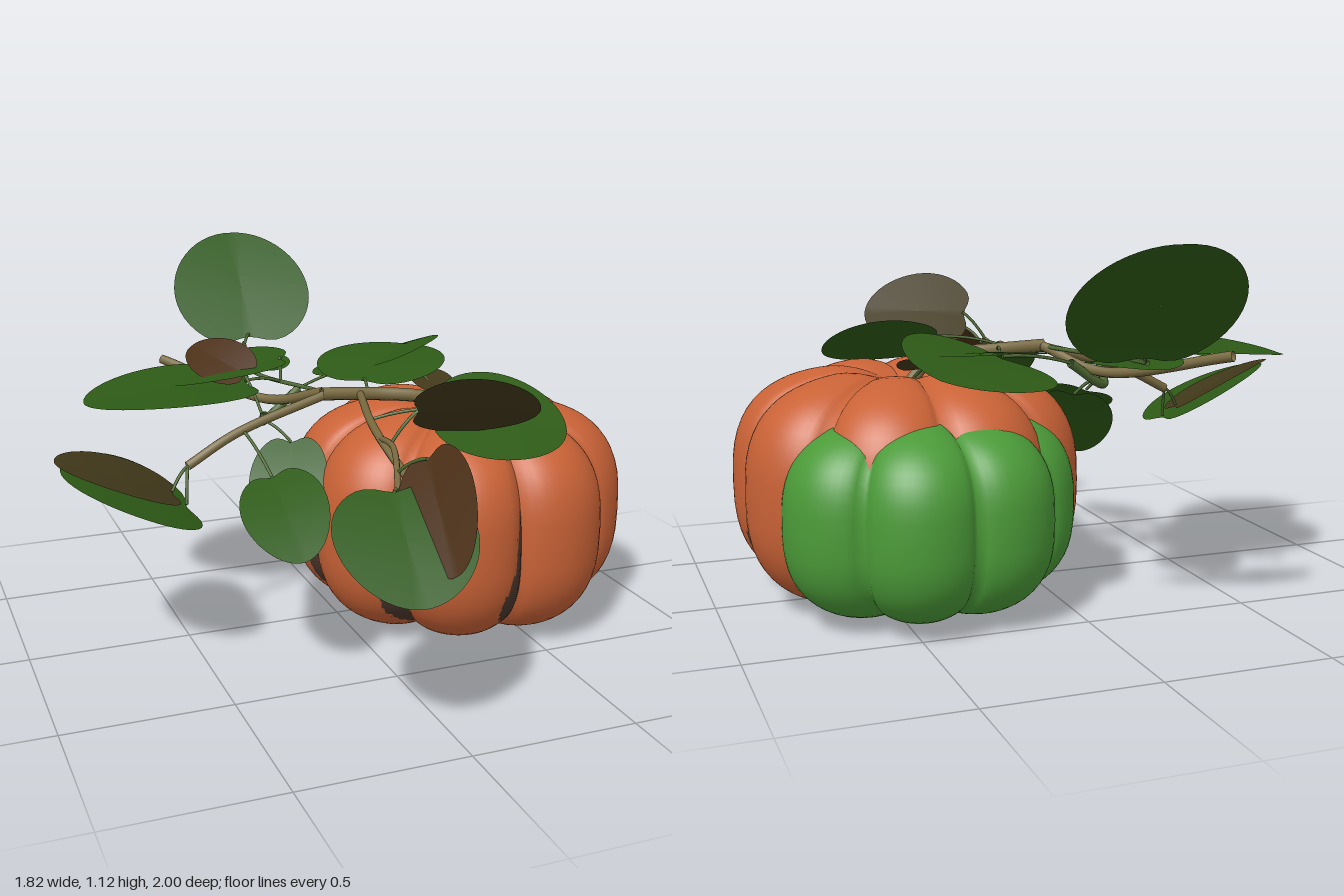
import * as THREE from 'three';

const V = (a) => new THREE.Vector3(...a);
const mat = (color) => new THREE.MeshStandardMaterial({ color, side: THREE.DoubleSide });
const orange = mat(0xc96236), green = mat(0x4b9a38), scar = mat(0x4b362c);
const leafGreen = mat(0x2d5a16), leafBrown = mat(0x4a2e14), leafOlive = mat(0x41381a);
const bark = mat(0x77693f), sprout = mat(0x4f6a34);
const LOBES = 8;

// Ribbed gourd: a dimpled superellipse turned around y, pinched at each valley
function gourd(name, material, radius, height, flare = 0) {
  const profile = [], steps = 44, mid = height / 2;
  for (let i = 0; i <= steps; i++) {
    const t = Math.PI / 2 * Math.sin(Math.PI * (i / steps - 0.5));
    const r = Math.abs(Math.cos(t)) ** 0.6;
    const rise = Math.sign(t) * Math.abs(Math.sin(t)) ** 0.74;
    const dimple = 1 - 0.25 * Math.max(0, 1 - r / 0.48) ** 2;
    profile.push(new THREE.Vector2(r * radius, mid * (1 + rise * dimple)));
  }
  const geo = new THREE.LatheGeometry(profile, LOBES * 16);
  const pos = geo.attributes.position;
  for (let i = 0; i < pos.count; i++) {
    const x = pos.getX(i), y = pos.getY(i), z = pos.getZ(i);
    const bulge = Math.abs(Math.sin(Math.atan2(x, z) * LOBES / 2)) ** 0.6;
    const pinch = (0.86 + 0.14 * bulge) * (1 + flare * (0.45 - y / height));
    const reach = Math.min(1, Math.hypot(x, z) / radius * 2);
    const sink = 1 - 0.08 * (1 - bulge) * reach;
    pos.setXYZ(i, x * pinch, mid + (y - mid) * sink, z * pinch);
  }
  geo.computeVertexNormals();
  const mesh = new THREE.Mesh(geo, material);
  mesh.name = name;
  return mesh;
}

function tube(name, curve, radius, material) {
  const mesh = new THREE.Mesh(new THREE.TubeGeometry(curve, 28, radius, 8), material);
  mesh.name = name;
  return mesh;
}

// Rounded blade along y, notched where the stalk joins and gently cupped
function bladeGeometry(width, length) {
  const geo = new THREE.RingGeometry(0.001, 1, 48, 5);
  const pos = geo.attributes.position;
  for (let i = 0; i < pos.count; i++) {
    const x = pos.getX(i), y = pos.getY(i);
    const notch = 1 - 0.18 * Math.exp(-((Math.atan2(x, -y) / 0.3) ** 2));
    const side = x * notch * (1 - 0.1 * y), along = y * notch;
    pos.setXYZ(i, side * width / 2, along * length / 2,
      length * (0.02 * Math.abs(side) - 0.025 * along * along));
  }
  geo.computeVertexNormals();
  return geo;
}

// Leaf from base to tip, rolled about its midrib, its stalk reaching the nearest vine
function leaf(vines, aspect, name, material, base, tip, roll = 0) {
  const group = new THREE.Group();
  group.name = name;
  const a = V(base), b = V(tip), dir = b.clone().sub(a);
  const length = dir.length();
  dir.normalize();
  const across = dir.clone().cross(V([0, 1, 0])).normalize().applyAxisAngle(dir, roll);
  const blade = new THREE.Mesh(bladeGeometry(length * aspect, length), material);
  blade.name = 'blade';
  blade.quaternion.setFromRotationMatrix(
    new THREE.Matrix4().makeBasis(across, dir, across.clone().cross(dir)));
  blade.position.lerpVectors(a, b, 0.5);
  const join = a.clone().lerp(b, 0.1);
  const anchor = vines.flatMap((vine) => vine.getPoints(24))
    .reduce((best, p) => (p.distanceTo(a) < best.distanceTo(a) ? p : best));
  const arch = anchor.clone().lerp(join, 0.5).add(V([0, 0.02, 0]));
  group.add(blade, tube('stalk', new THREE.QuadraticBezierCurve3(anchor, arch, join), 0.005, sprout));
  return group;
}

export function createModel() {
  const model = new THREE.Group();
  model.name = 'pumpkinsWithVine';

  // Orange pumpkin, with dark scars breaking through its lower valleys
  const pumpkin = gourd('orangePumpkin', orange, 0.535, 0.715);
  pumpkin.position.set(0.4, -0.005, 0.03);
  const scars = gourd('darkScars', scar, 0.522, 0.69, 0.07);
  scars.position.set(0.4, 0.006, 0.03);
  scars.rotation.y = 0.035;

  // Green pumpkin nested behind
  const second = gourd('greenPumpkin', green, 0.47, 0.6);
  second.position.set(0.41, 0.01, -0.15);
  second.rotation.y = 0.14;
  model.add(pumpkin, scars, second);

  // Main stem and the vines that branch from it
  const vine = (name, radius, material, ...points) => {
    const curve = new THREE.CatmullRomCurve3(points.map(V));
    model.add(tube(name, curve, radius, material));
    return curve;
  };
  const vines = [
    vine('stem', 0.021, bark, [0.42, 0.61, 0.01], [0.29, 0.72, 0.07], [0.12, 0.74, 0.02], [-0.05, 0.75, 0]),
    vine('leftVine', 0.015, bark, [-0.03, 0.75, 0], [-0.34, 0.66, 0.03], [-0.5, 0.58, 0.05]),
    vine('frontVine', 0.013, bark, [0.07, 0.745, 0.02], [0, 0.71, 0.32], [0.02, 0.6, 0.58]),
    vine('backVine', 0.016, bark, [-0.04, 0.75, -0.02], [-0.16, 0.69, -0.22], [-0.42, 0.77, -0.56]),
    vine('backTwig', 0.007, sprout, [-0.05, 0.75, -0.05], [-0.16, 0.75, -0.36], [-0.1, 0.78, -0.66]),
    vine('frontTwig', 0.009, bark, [0, 0.7, 0.35], [-0.02, 0.71, 0.5], [-0.09, 0.62, 0.7]),
    vine('tendril', 0.014, sprout, [-0.06, 0.72, -0.2], [-0.19, 0.64, -0.15], [-0.23, 0.69, -0.03]),
  ];

  // Broad leaves: name, material, base, tip, roll
  [
    ['raisedBackLeaf', leafGreen, [-0.08, 0.77, -0.64], [-0.04, 1.13, -0.99]],
    ['largeLeftLeaf', leafGreen, [-0.19, 0.77, -0.17], [-0.75, 0.74, -0.25]],
    ['upperLeftLeaf', leafGreen, [-0.07, 0.83, -0.22], [-0.47, 0.75, -0.36]],
    ['backLeaf', leafGreen, [-0.12, 0.75, -0.34], [-0.17, 0.76, -0.63]],
    ['rightBackLeaf', leafGreen, [0.15, 0.76, -0.23], [0.46, 0.76, -0.58], -0.3],
    ['rightInnerLeaf', leafGreen, [0.11, 0.75, -0.09], [0.41, 0.8, -0.41]],
    ['farLeftLeaf', leafGreen, [-0.48, 0.46, 0.1], [-0.89, 0.64, 0.16], -0.2],
    ['frontRightLeaf', leafGreen, [0.18, 0.76, 0.29], [0.56, 0.7, 0.46], 0.42],
    ['frontOliveLeaf', leafOlive, [0.03, 0.81, 0.47], [0.38, 0.82, 0.61], -0.68],
    ['frontLeaf', leafGreen, [-0.1, 0.68, 0.67], [-0.15, 0.45, 1]],
  ].forEach((spec) => model.add(leaf(vines, 0.96, ...spec)));

  // Narrow leaves, hanging or curled
  [
    ['curledLeaf', leafBrown, [-0.24, 0.79, -0.14], [-0.36, 0.85, -0.4], -0.5],
    ['smallInnerLeaf', leafOlive, [0.36, 0.75, -0.2], [0.41, 0.7, -0.01], 0.2],
    ['hangingInnerLeaf', leafGreen, [-0.13, 0.62, -0.06], [-0.25, 0.36, 0.21], 0.1],
    ['hangingOuterLeaf', leafGreen, [-0.28, 0.58, 0.16], [-0.3, 0.43, 0.54], 0.3],
    ['farLeftBrownLeaf', leafOlive, [-0.52, 0.5, 0.08], [-0.9, 0.66, 0.1], -0.2],
    ['frontBrownLeaf', leafBrown, [0, 0.76, 0.66], [-0.05, 0.51, 0.97], 0.85],
  ].forEach((spec) => model.add(leaf(vines, 0.62, ...spec)));

  return model;
}
